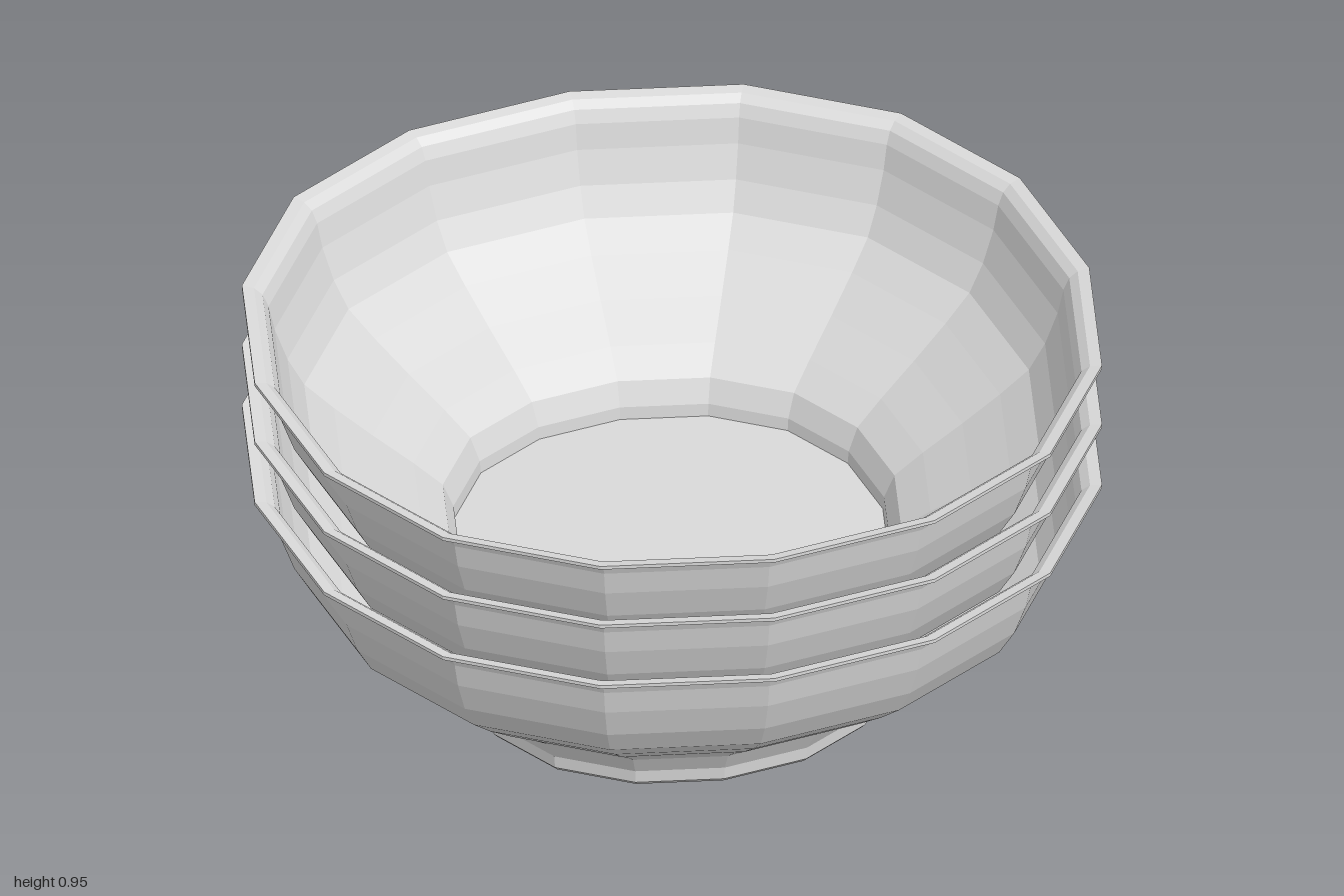
import * as THREE from 'three';

const SIDES = 16;

// Outer wall, from the foot up to the underside of the flared lip: [radius, height]
const OUTER = [
  [0.5, 0], [0.511, 0.012], [0.514, 0.045], [0.545, 0.098], [0.61, 0.148],
  [0.705, 0.215], [0.795, 0.283], [0.865, 0.343], [0.905, 0.412],
  [0.935, 0.495], [0.949, 0.56], [0.96, 0.586], [0.975, 0.6], [1, 0.606],
];

// Inner wall, from the lip down to the floor
const INNER = [
  [1, 0.615], [0.972, 0.61], [0.952, 0.594], [0.938, 0.563], [0.924, 0.5],
  [0.894, 0.419], [0.855, 0.352], [0.786, 0.294], [0.696, 0.227],
  [0.601, 0.16], [0.533, 0.107], [0.508, 0.05], [0.505, 0.018],
];

function bowlGeometry() {
  const profile = [[0, 0], ...OUTER, ...INNER, [0, 0.018]].map(([r, y]) => new THREE.Vector2(r, y));
  // Unshared vertices give each facet its own flat normal
  const geometry = new THREE.LatheGeometry(profile, SIDES).toNonIndexed();

  // Slightly squared round: corners swell a little along the diagonals
  const position = geometry.attributes.position;
  for (let i = 0; i < position.count; i++) {
    const x = position.getX(i);
    const z = position.getZ(i);
    const angle = Math.atan2(x, z);
    const radius = Math.hypot(x, z) * (1 + 0.029 * Math.sin(2 * angle) ** 2);
    const turned = angle + 0.0133 * Math.sin(4 * angle);
    position.setX(i, radius * Math.sin(turned));
    position.setZ(i, radius * Math.cos(turned));
  }
  geometry.computeVertexNormals();
  return geometry;
}

export function createModel() {
  const group = new THREE.Group();
  group.name = 'bowlStack';
  const ceramic = new THREE.MeshStandardMaterial({ color: 0xd9d9d9 });
  ceramic.name = 'light grey ceramic';

  // Three identical nested bowls
  const geometry = bowlGeometry();
  const names = ['bottomBowl', 'middleBowl', 'topBowl'];
  [0, 0.17, 0.335].forEach((height, i) => {
    const bowl = new THREE.Mesh(geometry, ceramic);
    bowl.name = names[i];
    bowl.position.y = height;
    group.add(bowl);
  });
  return group;
}
